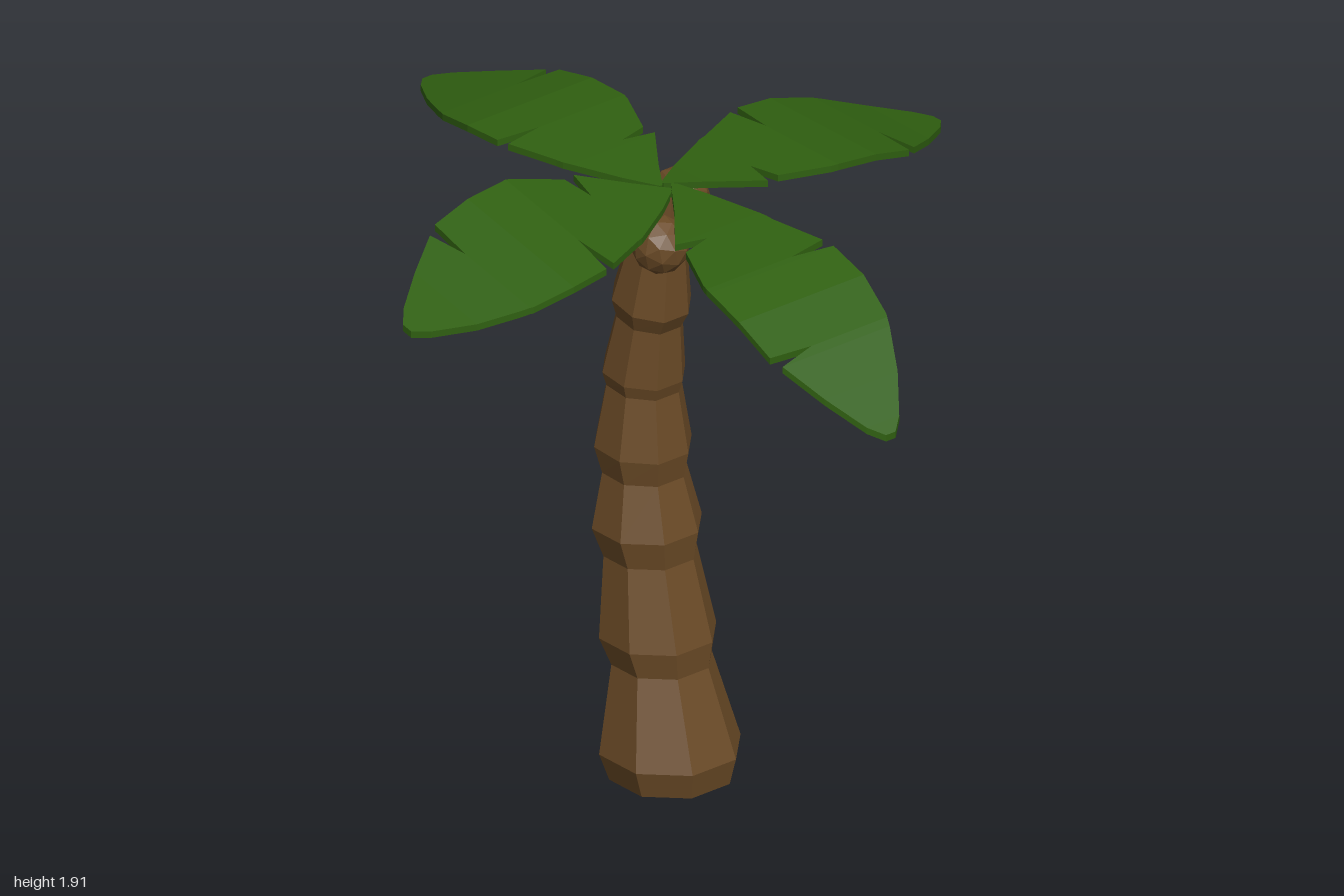
import * as THREE from 'three';

const bark = new THREE.MeshStandardMaterial({ color: 0x6a4a26 });
bark.name = 'bark brown';
const green = new THREE.MeshStandardMaterial({ color: 0x2f5f10 });
green.name = 'leaf green';
const black = new THREE.MeshStandardMaterial({ color: 0x020202 });
black.name = 'base black';

// Faceted copy of a geometry
function flat(geometry) {
  const g = geometry.index ? geometry.toNonIndexed() : geometry;
  g.computeVertexNormals();
  return g;
}

function addMesh(parent, name, geometry, material) {
  const mesh = new THREE.Mesh(geometry, material);
  mesh.name = name;
  parent.add(mesh);
  return mesh;
}

// Piecewise linear lookup in [[x, y], ...]
function lookup(points, x) {
  for (let i = 1; i < points.length; i++) {
    const [x0, y0] = points[i - 1], [x1, y1] = points[i];
    if (x <= x1) return y0 + (y1 - y0) * (x - x0) / (x1 - x0);
  }
  return points[points.length - 1][1];
}

// Trunk rings from the ground up: [height, z centre, half width, forward tilt]
const RINGS = [
  [0, 0.02, 0.17, 0], [0.08, 0.013, 0.193, 0],
  [0.34, -0.023, 0.137, 0], [0.42, -0.04, 0.16, 0],
  [0.66, -0.073, 0.127, 0], [0.745, -0.087, 0.15, 0],
  [0.91, -0.098, 0.115, 0.03], [0.99, -0.104, 0.133, 0.05],
  [1.18, -0.1, 0.102, 0.1], [1.22, -0.1, 0.113, 0.12],
  [1.4, -0.075, 0.09, 0.2], [1.455, -0.067, 0.108, 0.23],
  [1.66, -0.035, 0.076, 0.25], [1.82, -0.005, 0.05, 0],
];
const OCT = 1 / Math.cos(Math.PI / 8);

function trunkGeometry() {
  const last = RINGS.length - 1;
  const g = new THREE.CylinderGeometry(OCT, OCT, last, 8, last, true, Math.PI / 8);
  const p = g.attributes.position;
  for (let i = 0; i < p.count; i++) {
    const [y, cz, r, tilt] = RINGS[Math.round(p.getY(i) + last / 2)];
    const z = p.getZ(i) * r;
    p.setXYZ(i, p.getX(i) * r, y - tilt * z, cz + z);
  }
  return flat(g);
}

// Leaf outline along its length: [distance, one edge, other edge]; sudden dips are the tears
const OUTLINE = [
  [0, -0.005, 0.005], [0.09, -0.06, 0.075], [0.22, -0.125, 0.185],
  [0.24, -0.135, 0.085], [0.26, -0.14, 0.18], [0.4, -0.195, 0.245],
  [0.42, -0.065, 0.25], [0.435, -0.205, 0.25], [0.56, -0.21, 0.25],
  [0.69, -0.19, 0.24], [0.7, -0.185, 0.095], [0.725, -0.175, 0.22],
  [0.84, -0.12, 0.15], [0.95, -0.05, 0.07], [0.99, -0.01, 0.025],
];

// Thin bent slab lofted through four-corner cross-sections
function leafGeometry({ curve, roll = 0, shift = 0, stretch = 0 }) {
  const thick = 0.02, pos = [], index = [];
  for (const [d, lo, hi] of OUTLINE) {
    const u = d + stretch * d * (1 - d);
    const y = lookup(curve, u);
    const corner = (v, drop) => {
      const w = v - 0.02;
      pos.push(u, y + roll * w - drop, w + shift * Math.min(1, u / 0.3));
    };
    corner(lo, 0); corner(hi, 0); corner(hi, thick); corner(lo, thick);
  }
  const quad = (a, b, c, d) => index.push(a, b, c, a, c, d);
  const n = OUTLINE.length;
  for (let i = 0; i < n - 1; i++) {
    for (let k = 0; k < 4; k++) {
      const a = i * 4 + k, b = i * 4 + (k + 1) % 4;
      quad(a, b, b + 4, a + 4);
    }
  }
  quad(3, 2, 1, 0);
  const e = (n - 1) * 4;
  quad(e, e + 1, e + 2, e + 3);
  const g = new THREE.BufferGeometry();
  g.setAttribute('position', new THREE.Float32BufferAttribute(pos, 3));
  g.setIndex(index);
  return flat(g);
}

const SIDE_CURVE = [[0, 1.835], [0.2, 1.845], [0.42, 1.86], [0.56, 1.845], [0.7, 1.81], [0.84, 1.765], [0.99, 1.725]];
const LEAVES = [
  { name: 'leftLeaf', turn: 0, shift: 0.02, curve: SIDE_CURVE },
  { name: 'rightLeaf', turn: Math.PI, shift: -0.025, roll: 0.22, curve: SIDE_CURVE },
  { name: 'backLeaf', turn: Math.PI / 2, shift: -0.03,
    curve: [[0, 1.84], [0.22, 1.87], [0.42, 1.893], [0.56, 1.893], [0.7, 1.87], [0.84, 1.84], [0.99, 1.81]] },
  { name: 'frontLeaf', turn: -Math.PI / 2, shift: 0.03, stretch: 0.24,
    curve: [[0, 1.835], [0.26, 1.81], [0.48, 1.775], [0.62, 1.725], [0.76, 1.645], [0.87, 1.55], [0.99, 1.44]] },
];

// Coconuts: [x, y, z, radius]
const COCONUTS = [
  [0.13, 1.72, -0.1, 0.088], [-0.11, 1.72, -0.1, 0.085],
  [-0.1, 1.715, 0.09, 0.085], [0.07, 1.72, 0.075, 0.078],
];

export function createModel() {
  const palm = new THREE.Group();
  palm.name = 'palmTree';

  addMesh(palm, 'trunk', trunkGeometry(), bark);
  const base = addMesh(palm, 'trunkBase', new THREE.CircleGeometry(RINGS[0][2] * OCT, 8, Math.PI / 8), black);
  base.rotation.x = Math.PI / 2;
  base.position.z = RINGS[0][1];

  for (const leaf of LEAVES) {
    addMesh(palm, leaf.name, leafGeometry(leaf), green).rotation.y = leaf.turn;
  }

  COCONUTS.forEach(([x, y, z, r], i) => {
    const nut = addMesh(palm, 'coconut' + (i + 1), flat(new THREE.IcosahedronGeometry(r, 1)), bark);
    nut.position.set(x, y, z);
    nut.rotation.set(i, i * 2, 0);
  });

  return palm;
}
